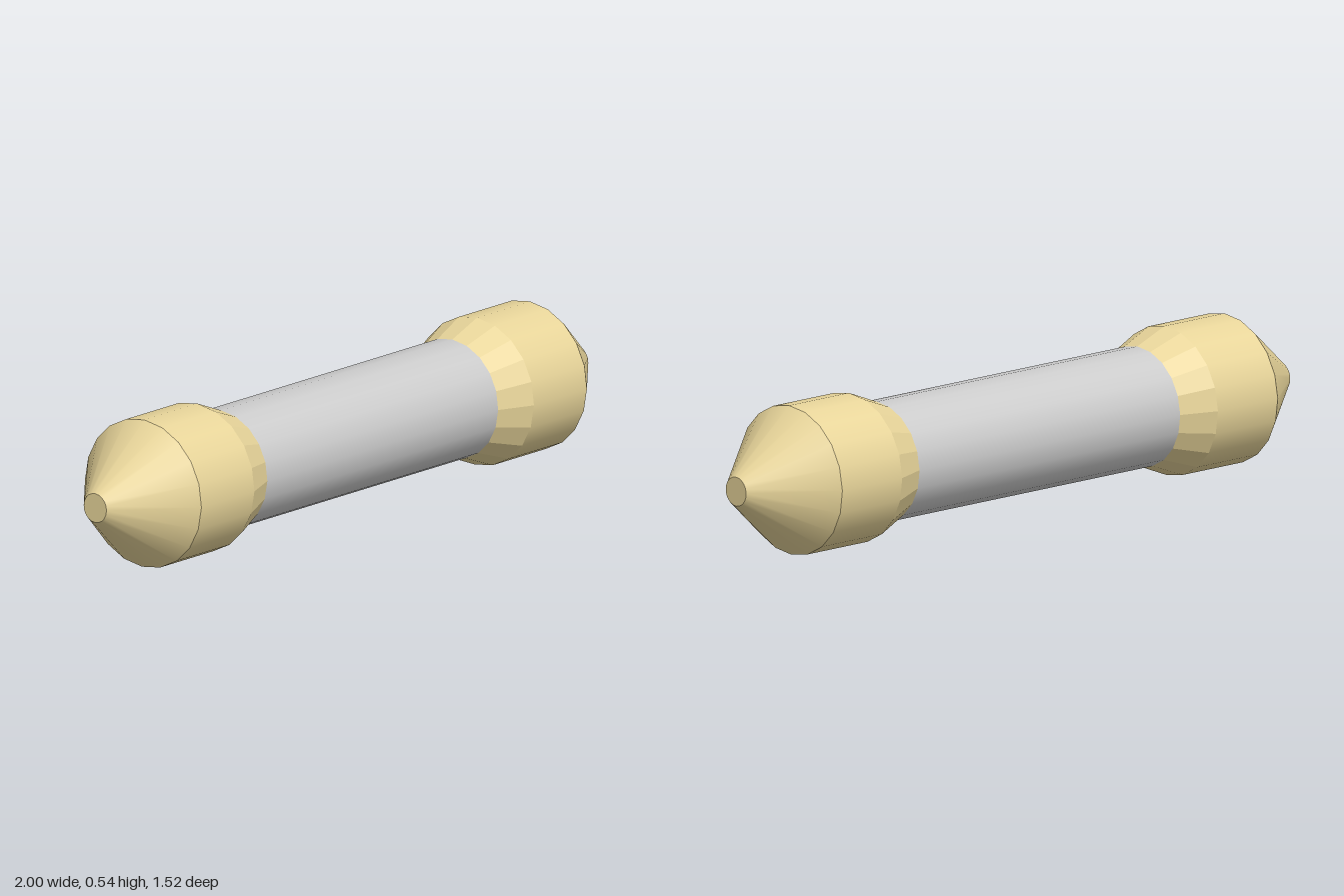
import * as THREE from 'three';

const SIDES = 20;

export function createModel() {
  const model = new THREE.Group();
  model.name = 'doubleEndedRod';
  const grey = new THREE.MeshStandardMaterial({ color: 0xcccccc });
  const tan = new THREE.MeshStandardMaterial({ color: 0xe8d59a });
  const tanFlat = new THREE.MeshStandardMaterial({ color: 0xe8d59a, flatShading: true });

  // Everything is laid out along x, then turned diagonally and tilted slightly
  const rod = new THREE.Group();
  rod.name = 'rod';
  rod.rotation.order = 'YZX';
  rod.rotation.set(0, 0.625, -0.024);
  rod.position.y = 0.268;
  model.add(rod);

  // Tapered section from x0 (radius r0) to x1 (radius r1)
  function section(parent, name, x0, r0, x1, r1, material) {
    const geometry = new THREE.CylinderGeometry(r1, r0, x1 - x0, SIDES, 1, true);
    geometry.rotateZ(-Math.PI / 2);
    geometry.translate((x0 + x1) / 2, 0, 0);
    const mesh = new THREE.Mesh(geometry, material);
    mesh.name = name;
    parent.add(mesh);
  }

  section(rod, 'shaft', -0.573, 0.197, 0.573, 0.197, grey);

  // Matching heads at both ends
  for (const [name, turn] of [['leftHead', 0], ['rightHead', Math.PI]]) {
    const head = new THREE.Group();
    head.name = name;
    head.rotation.y = turn;
    section(head, 'flare', 0.573, 0.197, 0.694, 0.245, tanFlat);
    section(head, 'barrel', 0.694, 0.245, 0.957, 0.245, tan);
    section(head, 'cone', 0.957, 0.245, 1.196, 0.048, tan);
    // Flat end of the cone
    const tip = new THREE.Mesh(new THREE.CircleGeometry(0.048, SIDES), tan);
    tip.name = 'tip';
    tip.rotation.y = Math.PI / 2;
    tip.position.x = 1.196;
    head.add(tip);
    rod.add(head);
  }
  return model;
}
